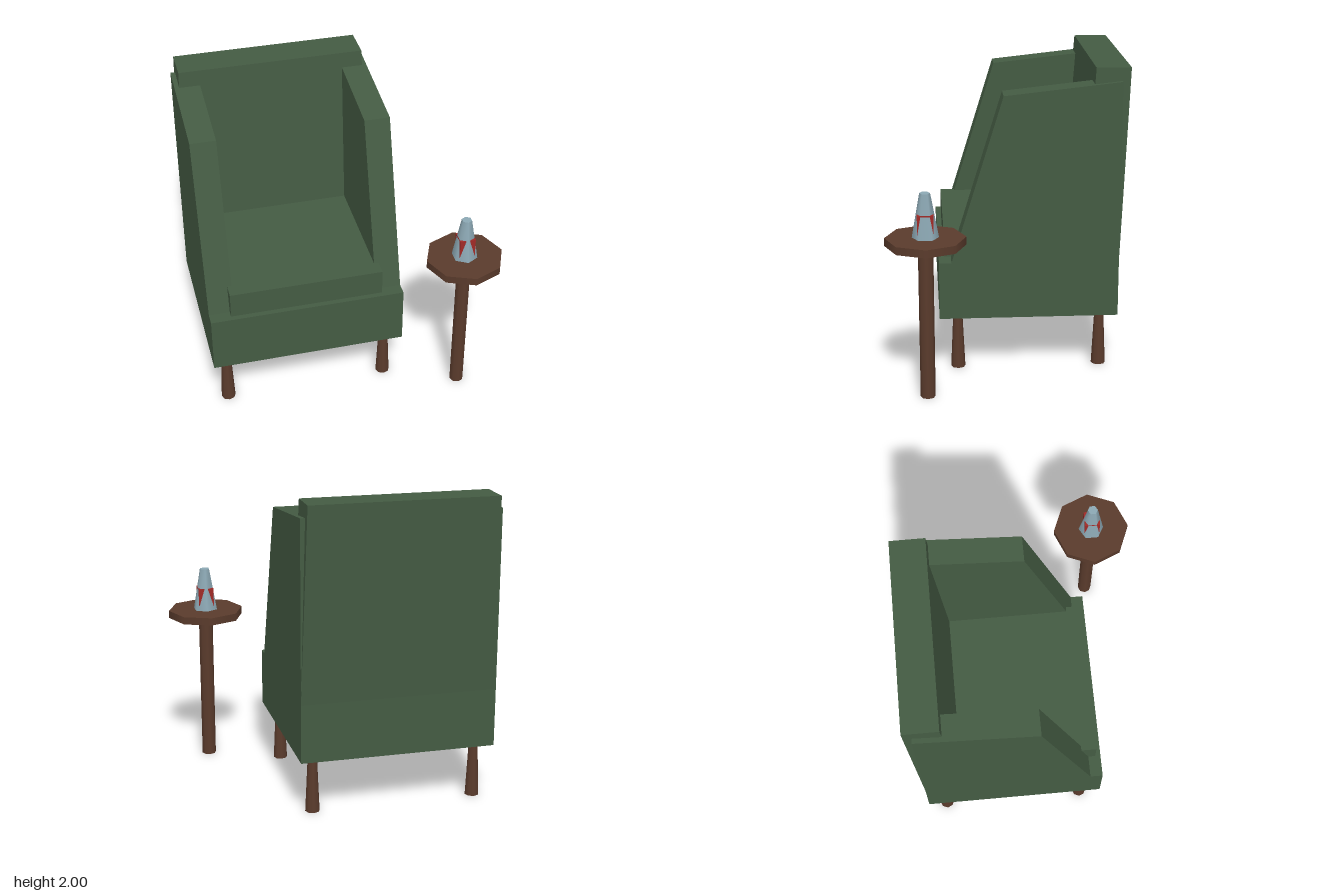
import * as THREE from 'three';

const green = new THREE.MeshStandardMaterial({ name: 'green upholstery', color: 0x445b43 });
const brown = new THREE.MeshStandardMaterial({ name: 'brown wood', color: 0x5a3b2c });
const blue = new THREE.MeshStandardMaterial({ name: 'pale blue glass', color: 0x8ca8b4 });
const red = new THREE.MeshStandardMaterial({ name: 'red drink', color: 0xa02a26 });

const CHAIR_X = -0.3125;
const HALF = 0.6325;

function add(parent, name, geometry, material, x = 0, y = 0, z = 0) {
  const mesh = new THREE.Mesh(geometry, material);
  mesh.name = name;
  mesh.position.set(x, y, z);
  parent.add(mesh);
  return mesh;
}

// Box given by its extents on each axis
function addBox(parent, name, material, [x0, x1], [y0, y1], [z0, z1]) {
  return add(parent, name, new THREE.BoxGeometry(x1 - x0, y1 - y0, z1 - z0), material,
    (x0 + x1) / 2, (y0 + y1) / 2, (z0 + z1) / 2);
}

// Upright cylinder standing on height y
function addPost(parent, name, material, rTop, rBottom, height, sides, x, y, z) {
  return add(parent, name, new THREE.CylinderGeometry(rTop, rBottom, height, sides), material,
    x, y + height / 2, z);
}

function createArmchair() {
  const chair = new THREE.Group();
  chair.name = 'armchair';
  chair.position.x = CHAIR_X;

  // Base and seat cushion
  addBox(chair, 'base', green, [-HALF, HALF], [0.37, 0.75], [-0.72, 0.44]);
  addBox(chair, 'seatCushion', green, [-0.4975, 0.4975], [0.75, 0.92], [-0.6, 0.405]);

  // Sloping side wings, profile drawn as (-z, y) and extruded across x
  const profile = new THREE.Shape([[-0.36, 0.75], [0.72, 0.75], [0.72, 1.915], [-0.025, 1.835]]
    .map(([a, b]) => new THREE.Vector2(a, b)));
  const wing = new THREE.ExtrudeGeometry(profile, { depth: 0.165, bevelEnabled: false });
  wing.rotateY(Math.PI / 2);
  add(chair, 'leftArm', wing, green, HALF - 0.165);
  add(chair, 'rightArm', wing, green, -HALF);

  // Backrest: a box that narrows and leans backwards towards the top
  const back = new THREE.BoxGeometry(2, 1.25, 2);
  const p = back.attributes.position;
  for (let i = 0; i < p.count; i++) {
    const top = p.getY(i) > 0;
    const front = p.getZ(i) > 0;
    p.setXYZ(i, Math.sign(p.getX(i)) * (top ? 0.6 : HALF), top ? 2 : 0.75,
      top ? (front ? -0.555 : -0.775) : (front ? -0.465 : -0.72));
  }
  back.computeVertexNormals();
  add(chair, 'backrest', back, green);

  // Tapered legs
  for (const [side, x] of [['left', 0.535], ['right', -0.535]]) {
    for (const [end, z] of [['Front', 0.32], ['Back', -0.61]]) {
      addPost(chair, `${side}${end}Leg`, brown, 0.03, 0.047, 0.37, 8, x, 0, z);
    }
  }
  return chair;
}

function createSideTable() {
  const table = new THREE.Group();
  table.name = 'sideTable';
  table.position.set(0.69, 0, 0.525);
  addPost(table, 'tablePost', brown, 0.047, 0.047, 1.0, 8, 0, 0, 0);
  addPost(table, 'tableTop', brown, 0.25, 0.25, 0.05, 8, 0, 1.0, 0);

  // Six-sided bottle with a square label block showing at its corners
  addPost(table, 'bottle', blue, 0.033, 0.083, 0.28, 6, 0, 1.05, 0);
  addBox(table, 'bottleLabel', red, [-0.05, 0.05], [1.055, 1.2], [-0.05, 0.05]);
  return table;
}

export function createModel() {
  const model = new THREE.Group();
  model.name = 'armchairWithSideTable';
  model.add(createArmchair(), createSideTable());
  return model;
}
